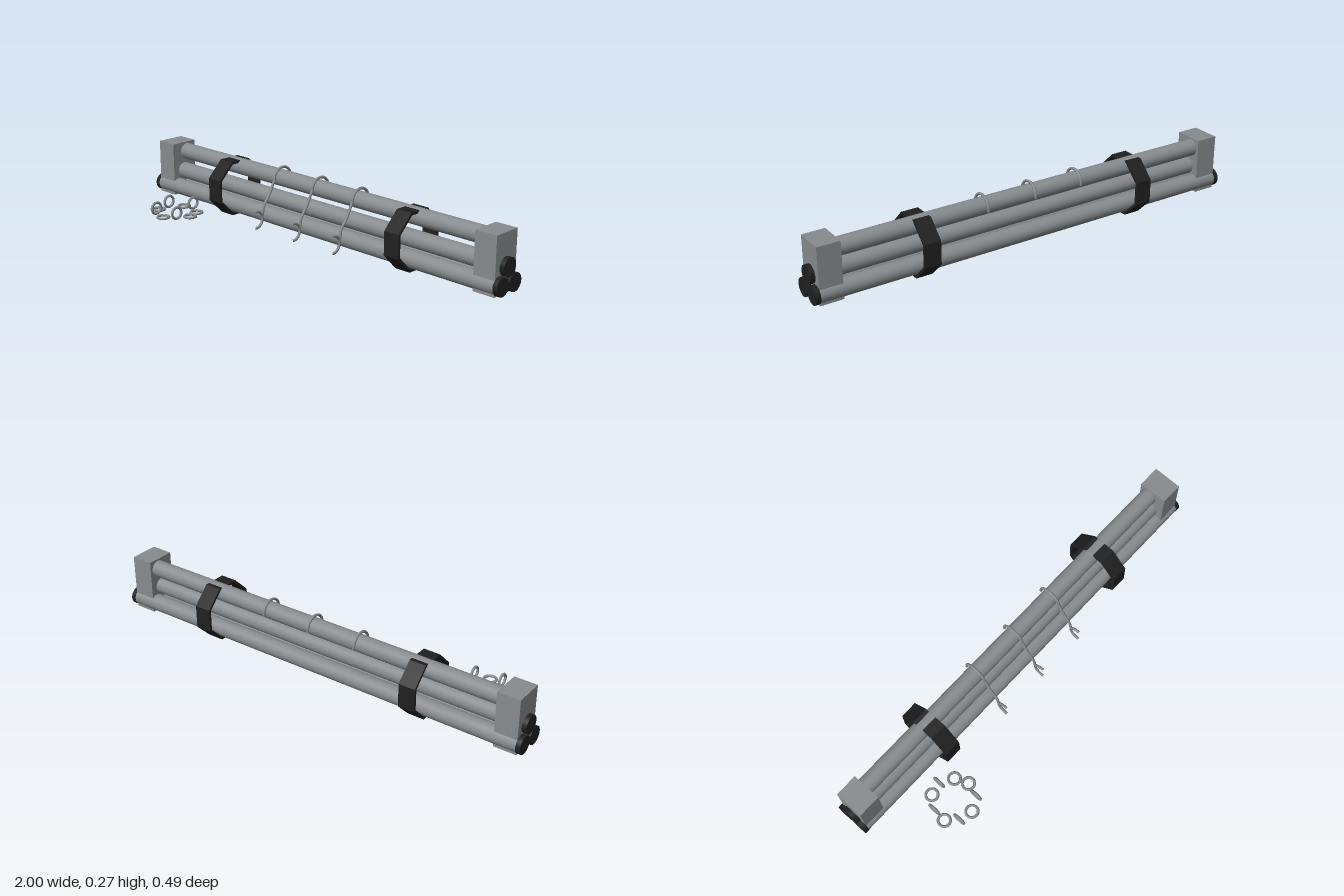
import * as THREE from 'three';

export function createModel() {
  const model = new THREE.Group();
  const steel = new THREE.MeshStandardMaterial({ color: 0x888c8f });
  steel.name = 'steel grey';
  const rubber = new THREE.MeshStandardMaterial({ color: 0x202020 });
  rubber.name = 'rubber black';

  const add = (name, geometry, material, x, y, z) => {
    const mesh = new THREE.Mesh(geometry, material);
    mesh.name = name;
    mesh.position.set(x, y, z);
    model.add(mesh);
    return mesh;
  };
  // cylinder lying along x
  const bar = (radius, length) =>
    new THREE.CylinderGeometry(radius, radius, length, 24).rotateZ(Math.PI / 2);

  // three stacked pipes with end caps
  const pipes = [[0.055, -0.081], [0.055, -0.16], [0.126, -0.12]];
  for (const [y, z] of pipes) {
    add('pipe', bar(0.0375, 1.96), steel, 0, y, z);
    for (const side of [-1, 1]) add('endCap', bar(0.0395, 0.02), rubber, side * 0.99, y, z);
  }

  // upper rod held between the end blocks
  add('upperRod', bar(0.0375, 1.8), steel, 0, 0.217, -0.137);
  for (const side of [-1, 1]) {
    add('endBlock', new THREE.BoxGeometry(0.1, 0.247, 0.13), steel, side * 0.93, 0.1385, -0.12);
  }

  // octagonal straps
  const octagon = (shape, flatRadius) => {
    const r = flatRadius / Math.cos(Math.PI / 8);
    const points = [];
    for (let i = 0; i < 8; i++) {
      const a = (i + 0.5) * Math.PI / 4;
      points.push(new THREE.Vector2(r * Math.cos(a), r * Math.sin(a)));
    }
    return shape.setFromPoints(points);
  };
  const strapShape = octagon(new THREE.Shape(), 0.125);
  strapShape.holes.push(octagon(new THREE.Path(), 0.114));
  const strapGeometry = new THREE.ExtrudeGeometry(strapShape, { depth: 0.075, bevelEnabled: false });
  strapGeometry.translate(0, 0, -0.0375).rotateY(Math.PI / 2);
  for (const side of [-1, 1]) add('strap', strapGeometry, rubber, side * 0.523, 0.125, -0.12);

  // wire hooks: an arc over the rod, a slanted link and an arc open to the front
  const arc = (y, z, radius, from, to) => {
    const points = [];
    for (let i = 0; i <= 10; i++) {
      const a = from + (to - from) * i / 10;
      points.push(new THREE.Vector3(0, y + radius * Math.sin(a), z + radius * Math.cos(a)));
    }
    return points;
  };
  const wire = (points, steps) =>
    new THREE.TubeGeometry(new THREE.CatmullRomCurve3(points), steps, 0.006, 8);
  const rodArc = wire(arc(0.217, -0.137, 0.05, Math.PI * 1.05, 0), 24);
  const link = wire([
    new THREE.Vector3(0, 0.217, -0.087),
    new THREE.Vector3(0, 0.155, -0.053),
    new THREE.Vector3(0, 0.115, -0.023),
    new THREE.Vector3(0, 0.075, -0.013),
  ], 16);
  const frontArc = wire(arc(0.058, 0.026, 0.038, Math.PI * 0.43, Math.PI * 1.57), 24);
  for (const x of [-0.23, 0, 0.23]) {
    const hook = new THREE.Group();
    hook.name = 'wireHook';
    hook.position.x = x;
    for (const g of [rodArc, link, frontArc]) hook.add(new THREE.Mesh(g, steel));
    model.add(hook);
  }

  // loose rings laid out in a circle, alternately flat and upright
  const flatRing = new THREE.TorusGeometry(0.026, 0.006, 8, 20).rotateX(Math.PI / 2);
  const uprightRing = new THREE.TorusGeometry(0.026, 0.006, 8, 20).rotateY(Math.PI / 2);
  for (const [x, z] of [[-0.7, 0.04], [-0.587, 0.062], [-0.563, 0.12], [-0.744, 0.153], [-0.64, 0.212]]) {
    add('flatRing', flatRing, steel, x, 0.021, z);
  }
  for (const [x, z] of [[-0.645, 0.032], [-0.741, 0.095], [-0.702, 0.2], [-0.582, 0.182]]) {
    add('uprightRing', uprightRing, steel, x, 0.046, z);
  }

  return model;
}
